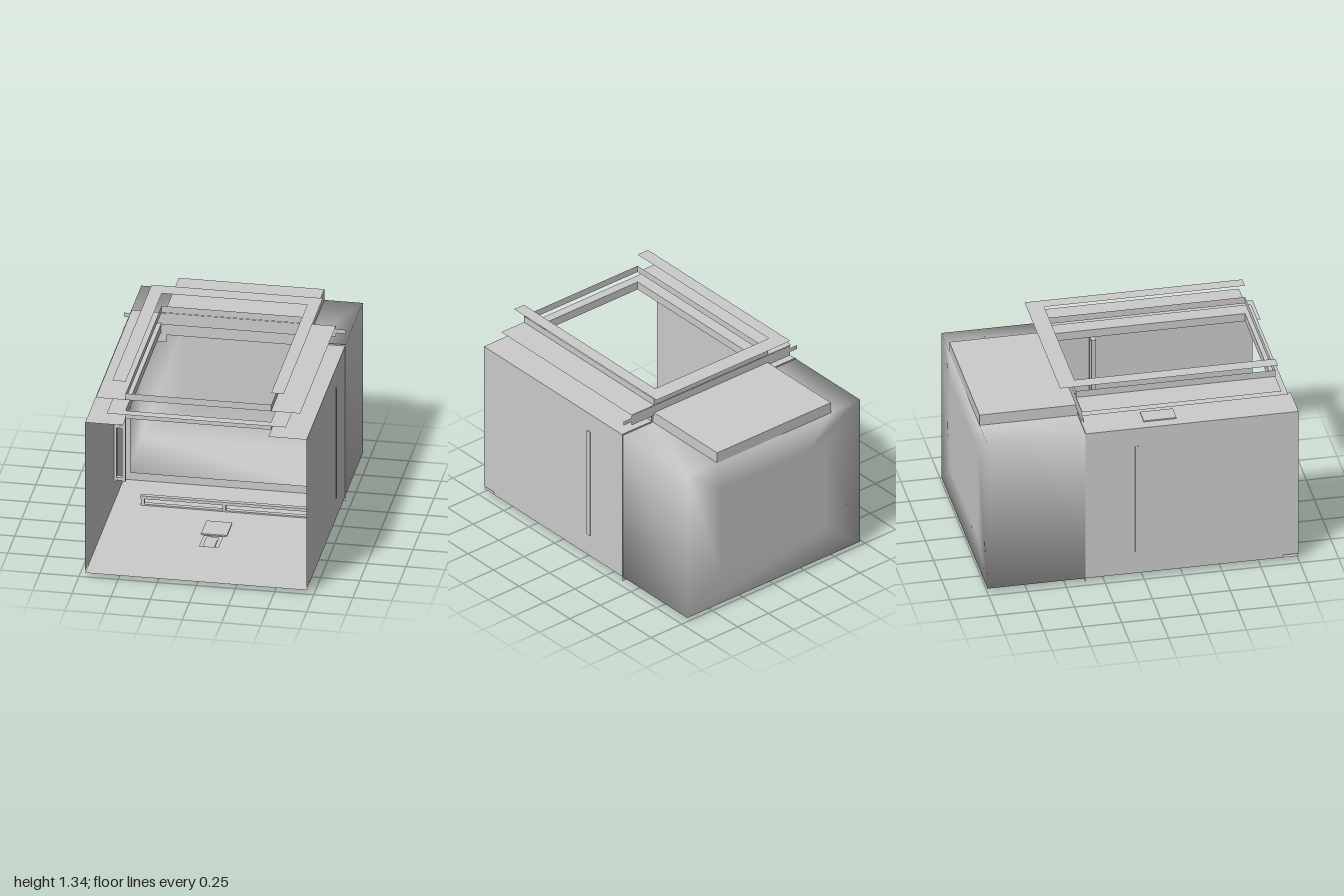
import * as THREE from 'three';

const material = new THREE.MeshStandardMaterial({ color: 0xcccccc, side: THREE.DoubleSide });

export function createModel() {
  const model = new THREE.Group();

  const add = (name, geometry) => {
    const mesh = new THREE.Mesh(geometry, material);
    mesh.name = name;
    model.add(mesh);
    return mesh;
  };
  const toPoints = (list) => list.map(([a, b]) => new THREE.Vector2(a, b));
  const rect = (a0, a1, b0, b1) => [[a0, b0], [a1, b0], [a1, b1], [a0, b1]];
  const sheet = (outline, hole) => {
    const shape = new THREE.Shape(toPoints(outline));
    if (hole) shape.holes.push(new THREE.Path(toPoints(hole)));
    return new THREE.ShapeGeometry(shape);
  };
  // Thin sheets: upright facing z, level at height y, or upright facing x
  const faceZ = (name, z, outline, hole) => add(name, sheet(outline, hole).translate(0, 0, z));
  const level = (name, y, outline, hole) =>
    add(name, sheet(outline, hole).rotateX(Math.PI / 2).translate(0, y, 0));
  const faceX = (name, x, outline) =>
    add(name, sheet(outline).rotateY(-Math.PI / 2).translate(x, 0, 0));
  const box = (name, x0, x1, y0, y1, z0, z1) =>
    add(name, new THREE.BoxGeometry(x1 - x0, y1 - y0, z1 - z0)
      .translate((x0 + x1) / 2, (y0 + y1) / 2, (z0 + z1) / 2));

  const L = -0.71, R = 0.705;        // side walls
  const HL = -0.47, HR = 0.46;       // roof opening
  const SPLIT = -0.37, ROOF = 1.08, FLOOR = 0.028;

  // Front compartment: floor, side walls and roof strips
  level('floor', FLOOR, rect(L, R, SPLIT, 1));
  for (const [side, x, inner] of [['right', L, HL], ['left', R, HR]]) {
    faceX(side + 'Wall', x, [[SPLIT, FLOOR], [0.9, FLOOR], [0.9, 0.045], [1, 0.045], [1, ROOF], [SPLIT, ROOF]]);
    level(side + 'RoofStrip', ROOF, rect(Math.min(x, inner), Math.max(x, inner), SPLIT, 1));
  }

  // Rear shell: one smooth skin with a closed back
  const section = [[L, FLOOR], [R, FLOOR], [R, ROOF], [HR, ROOF], [HL, ROOF], [L, ROOF]];
  const rings = [[SPLIT, 1], [-1, 1], [-1, 0.6]];
  const positions = [], index = [], n = section.length;
  for (const [z, s] of rings) {
    for (const [x, y] of section) positions.push(x * s, 0.555 + (y - 0.555) * s, z);
  }
  positions.push(0, 0.555, -1);
  for (let j = 0; j < rings.length; j++) {
    for (let i = 0; i < n; i++) {
      const k = (i + 1) % n;
      const a = j * n + i, b = j * n + k;
      if (j === rings.length - 1) {
        index.push(a, rings.length * n, b);
      } else if (j > 0 || i !== 3) { // the roof hump covers the middle
        index.push(a, a + n, b, b, a + n, b + n);
      }
    }
  }
  const shell = new THREE.BufferGeometry();
  shell.setAttribute('position', new THREE.Float32BufferAttribute(positions, 3));
  shell.setIndex(index);
  shell.computeVertexNormals();
  add('rearShell', shell);

  // Raised roof hump over the rear shell
  const HUMP = 1.155;
  level('roofHumpTop', HUMP, rect(HL, HR, -1, -0.38));
  faceZ('roofHumpBack', -1, rect(HL, HR, ROOF, HUMP));
  for (const x of [HL, HR]) faceX('roofHumpSide', x, rect(-1, -0.38, ROOF, HUMP));

  // Partition frame with a stepped head, and the loose head band above it
  faceZ('partitionFrame', SPLIT,
    [[-0.71, 0], [0.71, 0], [0.71, 1.09], [0.475, 1.09], [0.475, 1.135], [-0.475, 1.135], [-0.475, 1.09], [-0.71, 1.09]],
    [[-0.665, 0.08], [0.645, 0.08], [0.645, 1.03], [0.425, 1.03], [0.425, 1.06], [-0.435, 1.06], [-0.435, 1.01], [-0.665, 1.01]]);
  faceZ('headBand', -0.38,
    [[-0.65, 1.135], [0.645, 1.135], [0.645, 1.16], [0.71, 1.16], [0.71, 1.188], [0.645, 1.188],
      [0.645, 1.208], [-0.65, 1.208], [-0.65, 1.188], [-0.71, 1.188], [-0.71, 1.16], [-0.65, 1.16]]);

  // Two curbs around the roof opening
  for (const [name, y0, y1] of [['lowerCurb', ROOF, 1.135], ['upperCurb', 1.21, 1.255]]) {
    for (const x of [HL, HR]) faceX(name + 'Side', x, rect(-0.38, 0.9, y0, y1));
    for (const z of [-0.38, 0.9]) faceZ(name + 'End', z, rect(HL, HR, y0, y1));
  }

  // Floating flanges: lower ring, middle side strips, upper U-shaped trim
  level('lowerFlange', 1.135, [[-0.58, -0.38], [HL, -0.38], [HL, 0.9], [HR, 0.9], [HR, -0.38],
    [0.565, -0.38], [0.565, 0.96], [-0.58, 0.96]]);
  level('middleFlange', 1.21, rect(-0.66, HL, -0.38, 0.9));
  level('middleFlange', 1.21, rect(HR, 0.645, -0.38, 0.9));
  level('upperTrim', 1.338, [[-0.555, -0.5], [0.54, -0.5], [0.54, 0.9], [HR, 0.9],
    [HR, -0.39], [HL, -0.39], [HL, 0.9], [-0.555, 0.9]]);

  // Wall rails on standoffs
  const Z0 = -0.05, Z1 = -0.02;
  for (const [side, s] of [['right', -1], ['left', 1]]) {
    const span = (name, a, b, y0, y1) =>
      box(side + name, Math.min(s * a, s * b), Math.max(s * a, s * b), y0, y1, Z0, Z1);
    span('WallRail', 0.637, 0.657, 0.18, 0.95);
    span('WallRailBase', 0.693, 0.712, 0.18, 0.95);
    for (const y of [0.2, 0.565, 0.94]) span('WallRailStandoff', 0.657, 0.693, y - 0.01, y + 0.01);
  }

  // Floor rail on standoffs
  box('floorRail', -0.54, 0.587, 0.073, 0.093, Z0, Z1);
  box('floorRailBase', -0.54, 0.587, 0.022, 0.037, Z0, Z1);
  for (const x of [-0.525, -0.005, 0.573]) {
    box('floorRailStandoff', x - 0.01, x + 0.01, 0.037, 0.073, Z0, Z1);
  }

  // Floor hatch, latch with recess, and roof plate
  box('floorHatch', -0.09, 0.075, 0.022, 0.036, 0.14, 0.33);
  level('latchFrame', 0.035, rect(-0.07, 0.055, 0.35, 0.515), rect(-0.045, 0.03, 0.37, 0.5));
  box('latch', -0.04, 0.025, 0.022, 0.032, 0.38, 0.495);
  box('roofPlate', -0.64, -0.525, 1.066, 1.088, 0.02, 0.23);

  return model;
}
